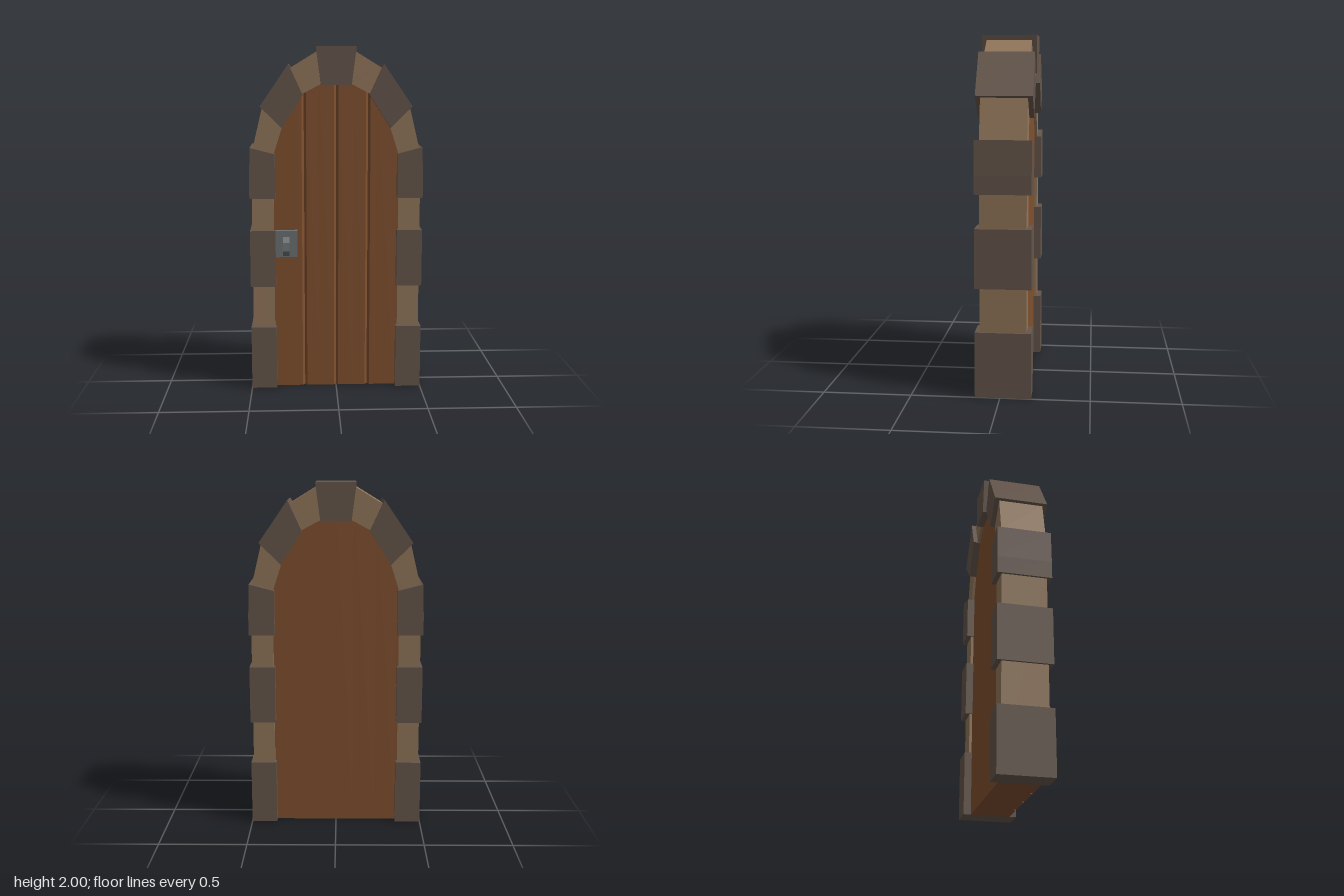
import * as THREE from 'three';

const material = (color) => new THREE.MeshStandardMaterial({ color, flatShading: true });
const darkStone = material(0x65564b);
const lightStone = material(0x92765a);
const wood = material(0x81502f);
const metal = material(0x6c7173);

const toShape = (points) => new THREE.Shape(points.map(([x, y]) => new THREE.Vector2(x, y)));
const mirror = (points) => points.map(([x, y]) => [-x, y]).reverse();

// Extrudes an outline drawn in x, y from z = back to z = front.
function slab(points, back, front) {
  const geometry = new THREE.ExtrudeGeometry(toShape(points), { depth: front - back, bevelEnabled: false });
  return geometry.translate(0, 0, back);
}

function add(group, name, geometry, mat) {
  const mesh = new THREE.Mesh(geometry, mat);
  mesh.name = name;
  group.add(mesh);
  return mesh;
}

// Dark blocks that stand proud of the frame: three per side, one per haunch, one keystone.
function addDarkStones(group) {
  const sideStones = [
    [[0.352, 0], [0.5, 0], [0.5, 0.372], [0.352, 0.372]],
    [[0.352, 0.618], [0.5, 0.618], [0.5, 0.95], [0.352, 0.95]],
    [[0.352, 1.138], [0.5, 1.138], [0.5, 1.24], [0.494, 1.432], [0.352, 1.395]],
    [[0.31, 1.543], [0.434, 1.665], [0.27, 1.903], [0.19, 1.73]],
  ];
  sideStones.forEach((points, i) => {
    add(group, `leftDarkStone${i + 1}`, slab(points, -0.173, 0.14), darkStone);
    add(group, `rightDarkStone${i + 1}`, slab(mirror(points), -0.173, 0.14), darkStone);
  });
  const keystone = [[-0.087, 1.785], [0.087, 1.785], [0.115, 2], [-0.115, 2]];
  add(group, 'keystone', slab(keystone, -0.173, 0.14), darkStone);
}

// Continuous lighter frame that shows between the dark blocks.
function addFrame(group) {
  const outer = [[0.487, 0.02], [0.487, 1.2], [0.477, 1.43], [0.423, 1.655], [0.262, 1.88], [0.11, 1.973]];
  const inner = [[0.361, 0.02], [0.361, 1.385], [0.308, 1.55], [0.192, 1.735], [0.088, 1.79]];
  const outline = [...outer, ...mirror(outer), ...mirror(inner).reverse(), ...[...inner].reverse()];
  add(group, 'lightStoneFrame', slab(outline, -0.146, 0.113), lightStone);
}

// Planked door: a grooved plan outline raised to an arched top hidden in the frame.
function addDoor(group) {
  const front = 0.1, back = -0.13, depth = 0.02, half = 0.013;
  const arch = [[0, 1.87], [0.1, 1.86], [0.23, 1.8], [0.35, 1.61], [0.41, 1.4]];
  const topAt = (x) => {
    const a = Math.abs(x);
    const i = Math.max(1, arch.findIndex(([ax]) => a <= ax + 1e-6));
    const [[x0, y0], [x1, y1]] = [arch[i - 1], arch[i]];
    return THREE.MathUtils.mapLinear(a, x0, x1, y0, y1);
  };
  const plan = [];
  const breaks = [-0.41, -0.35, -0.23, -0.1, 0.1, 0.23, 0.35, 0.41];
  const frontEdge = breaks.map((x) => [x, -front]);
  for (const x of [-0.185, 0, 0.185]) {
    frontEdge.push([x - half, -front], [x, -front + depth], [x + half, -front]);
  }
  frontEdge.sort((a, b) => a[0] - b[0]);
  plan.push(...frontEdge);
  for (const x of [...breaks.slice(0, 4), 0, ...breaks.slice(4)].reverse()) plan.push([x, -back]);

  const geometry = slab(plan, 0, 1).rotateX(-Math.PI / 2);
  const position = geometry.attributes.position;
  for (let i = 0; i < position.count; i++) {
    if (position.getY(i) > 0.5) position.setY(i, topAt(position.getX(i)));
  }
  geometry.computeVertexNormals();
  add(group, 'plankDoor', geometry, wood);
}

// Latch plate with an angular grip.
function addLatch(group) {
  const latch = new THREE.Group();
  latch.name = 'latch';
  const plate = add(latch, 'latchPlate', new THREE.BoxGeometry(0.13, 0.155, 0.045), metal);
  plate.position.set(-0.29, 0.872, 0.1155);
  const profile = [[0.12, 0.8], [0.14, 0.803], [0.173, 0.835], [0.168, 0.885], [0.14, 0.912], [0.12, 0.93]];
  const grip = slab(profile, 0, 0.038).rotateY(-Math.PI / 2);
  add(latch, 'latchGrip', grip, metal).position.x = -0.272;
  group.add(latch);
}

export function createModel() {
  const group = new THREE.Group();
  group.name = 'archedDoor';
  addDarkStones(group);
  addFrame(group);
  addDoor(group);
  addLatch(group);
  return group;
}
